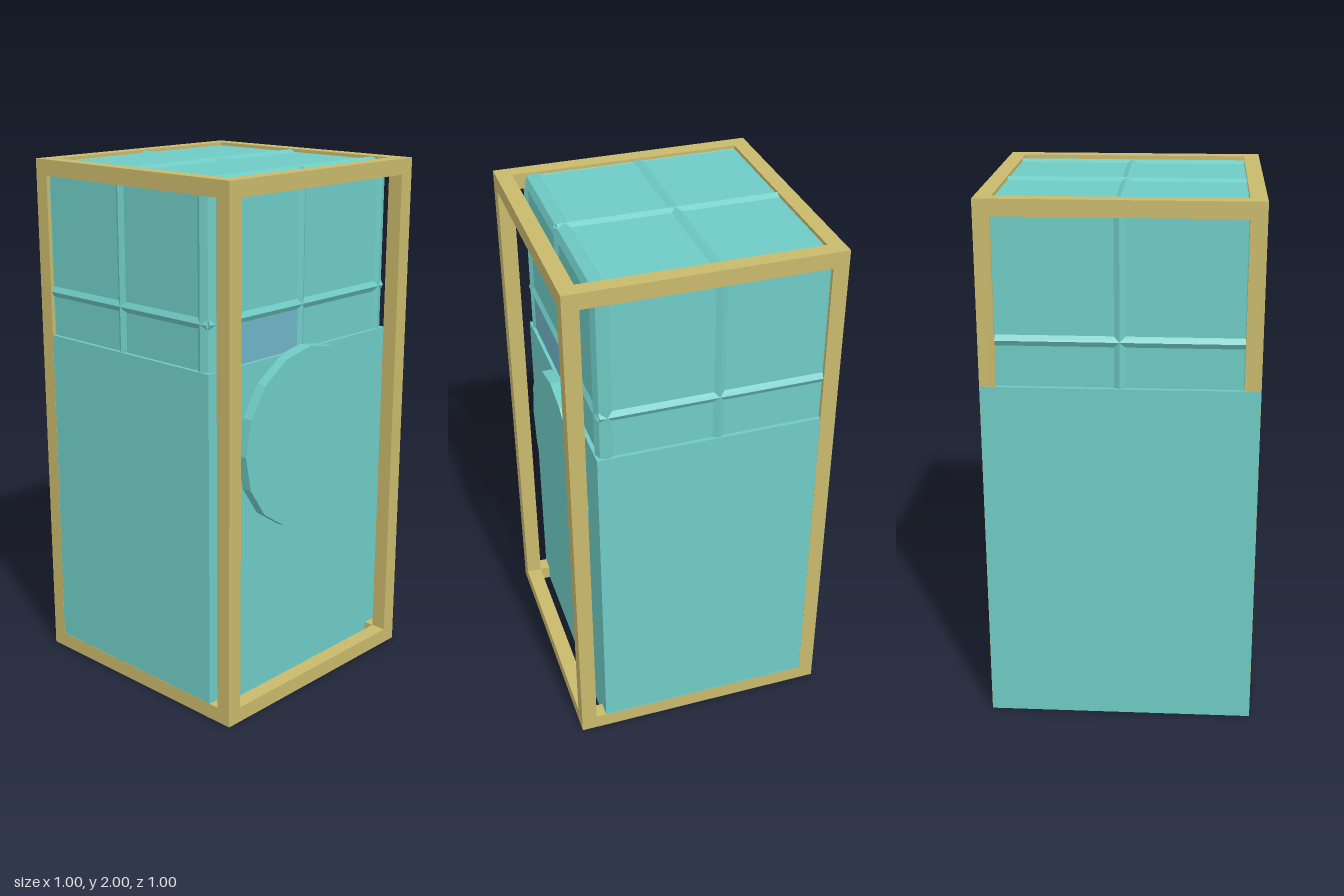
import * as THREE from 'three';

const material = (name, color) => {
  const m = new THREE.MeshStandardMaterial({ color });
  m.name = name;
  return m;
};

// Rectangle outline with bevelled corner struts and a small ridge mid-side
function ridgedOutline(halfW, halfH) {
  const dip = 0.012, ridge = 0.02, strut = 0.04;
  const points = [];
  for (let side = 0; side < 4; side++) {
    const [w, h] = side % 2 ? [halfH, halfW] : [halfW, halfH];
    const run = [
      [w - 0.0115, h - 0.0115], [w - strut, h], [w - strut - ridge, h - dip],
      [ridge, h - dip], [0, h], [-ridge, h - dip],
      [-w + strut + ridge, h - dip], [-w + strut, h],
    ];
    for (const [u, v] of run) {
      points.push(new THREE.Vector2(u, v).rotateAround(new THREE.Vector2(), side * Math.PI / 2));
    }
  }
  return new THREE.Shape(points);
}

export function createModel() {
  const teal = material('teal', 0x6fcbc5);
  const ochre = material('ochre', 0xc9b96c);
  const blue = material('pale blue', 0x70b5c8);
  const model = new THREE.Group();

  const add = (parent, name, geometry, mat, x, y, z) => {
    const mesh = new THREE.Mesh(geometry, mat);
    mesh.name = name;
    mesh.position.set(x, y, z);
    parent.add(mesh);
    return mesh;
  };
  const box = (parent, name, mat, x0, x1, y0, y1, z0, z1) =>
    add(parent, name, new THREE.BoxGeometry(x1 - x0, y1 - y0, z1 - z0), mat,
      (x0 + x1) / 2, (y0 + y1) / 2, (z0 + z1) / 2);

  // Outer frame: four posts and eight rails
  const frame = new THREE.Group();
  frame.name = 'frame';
  model.add(frame);
  const bar = 0.06, left = -0.499, bottom = 0.001;
  for (const x of [left, 0.44]) {
    const x1 = x < 0 ? -0.44 : 0.5;
    for (const z of [-0.5, 0.44]) box(frame, 'post', ochre, x, x1, bottom, 2, z, z + bar);
    for (const y of [bottom, 1.94]) box(frame, 'sideRail', ochre, x, x1, y, y < 1 ? bar : 2, -0.44, 0.44);
  }
  for (const z of [-0.5, 0.44]) {
    for (const y of [bottom, 1.94]) box(frame, 'crossRail', ochre, -0.44, 0.44, y, y < 1 ? bar : 2, z, z + bar);
  }

  // Solid lower body
  box(model, 'body', teal, -0.5, 0.4, 0, 1.33, -0.499, 0.499);

  // Panelled upper block: one ridged extrusion along each axis
  const upper = new THREE.Group();
  upper.name = 'upperBlock';
  upper.position.set(-0.05, 1.5, 0);
  model.add(upper);
  const hx = 0.447, hy = 0.498, hz = 0.497, dip = 0.012;
  const prism = (w, h, halfDepth) =>
    new THREE.ExtrudeGeometry(ridgedOutline(w, h), { depth: 2 * (halfDepth - dip), bevelEnabled: false })
      .translate(0, 0, dip - halfDepth);
  add(upper, 'panelsAlongZ', prism(hx, hy, hz), teal, 0, 0, 0);
  add(upper, 'panelsAlongX', prism(hz, hy, hx).rotateY(Math.PI / 2), teal, 0, 0, 0);
  add(upper, 'panelsAlongY', prism(hx, hz, hy).rotateX(Math.PI / 2), teal, 0, 0, 0);

  // Tinted pane on the left side
  box(model, 'tintedPane', blue, 0.383, 0.387, 1.33, 1.482, 0.018, 0.44);

  // Round disc on the left side
  const disc = new THREE.CylinderGeometry(0.35, 0.35, 0.05, 16).toNonIndexed();
  disc.rotateZ(-Math.PI / 2);
  disc.computeVertexNormals();
  add(model, 'disc', disc, teal, 0.415, 1, 0);

  return model;
}
